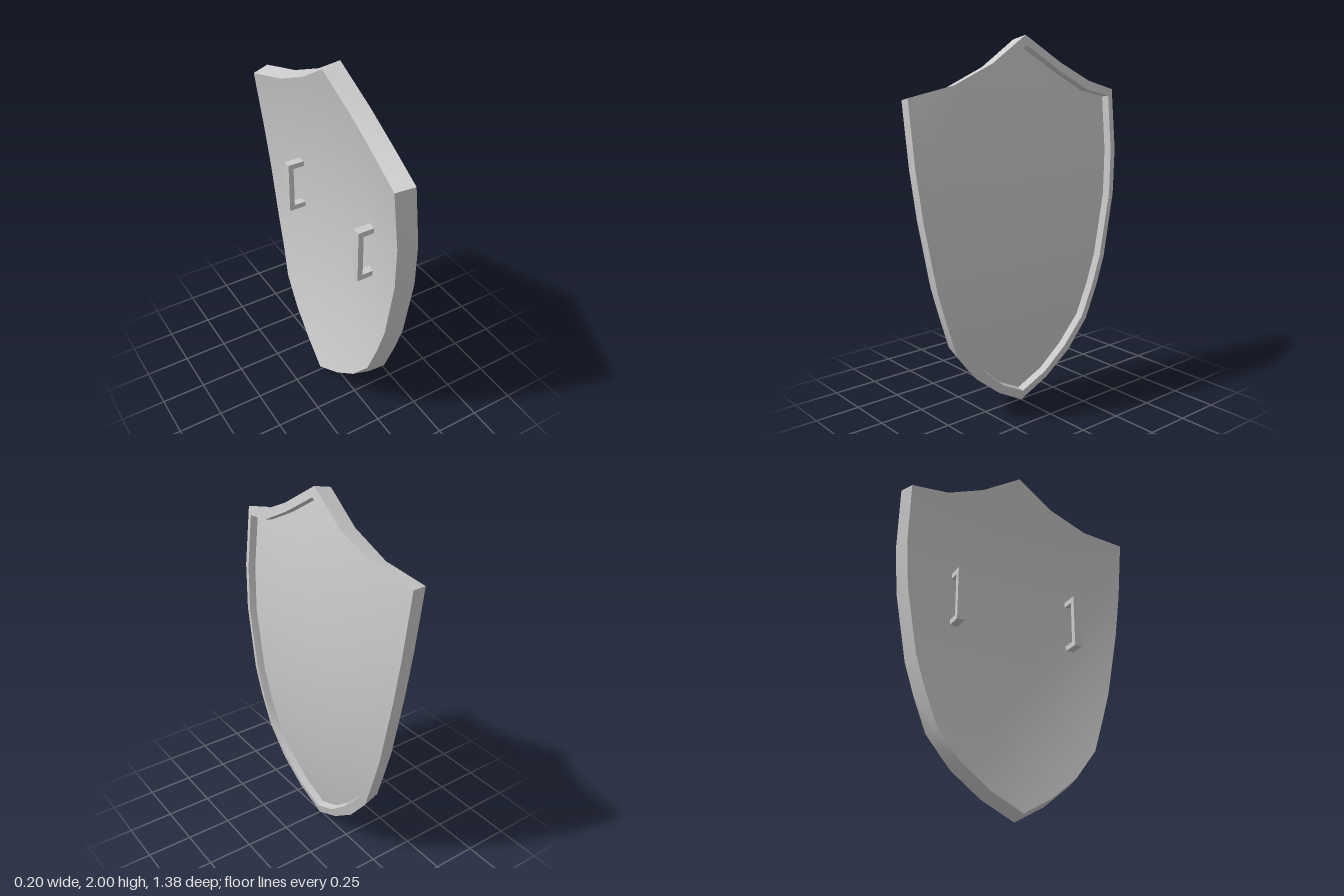
import * as THREE from 'three';
import { toCreasedNormals } from 'three/addons/utils/BufferGeometryUtils.js';

// Half outlines as [z, y], from the top point down to the bottom tip
const OUTER = [[0, 2], [0.23, 1.86], [0.455, 1.76], [0.69, 1.706], [0.684, 1.37], [0.658, 1.114],
  [0.589, 0.75], [0.536, 0.58], [0.467, 0.388], [0.336, 0.224], [0.175, 0.096], [0, 0]];
const INNER = [[0, 1.947], [0.21, 1.82], [0.43, 1.714], [0.642, 1.671], [0.637, 1.37], [0.615, 1.114],
  [0.543, 0.76], [0.489, 0.59], [0.424, 0.413], [0.292, 0.26], [0.155, 0.138], [0, 0.057]];
const RECESS = 0.04, THICKNESS = 0.1;

// Normal and position on the domed shield surface, sunk by depth along the normal
const normalAt = (z, y) => new THREE.Vector3(1, 0.24 * (y - 1.07), 0.4 * z).normalize();
function pointAt(z, y, depth) {
  const x = 0.145 - 0.2 * z * z - 0.12 * (y - 1.07) ** 2;
  return new THREE.Vector3(x, y, z).addScaledVector(normalAt(z, y), -depth);
}

function makeGeometry(points, index) {
  const geo = new THREE.BufferGeometry().setFromPoints(points);
  geo.setIndex(index);
  return geo;
}

// Domed sheet filling a half outline and its mirror image, row by row
function sheet(half, depth, facing) {
  const N = 12, points = [], normals = [], index = [];
  half.forEach(([w, y], i) => {
    for (let k = 0; k <= N; k++) {
      const z = w * (1 - 2 * k / N);
      points.push(pointAt(z, y, depth));
      normals.push(...normalAt(z, y).multiplyScalar(facing).toArray());
      if (i === half.length - 1 || k === N) continue;
      const a = i * (N + 1) + k, b = a + N + 1;
      if (facing > 0) index.push(a, b, b + 1, a, b + 1, a + 1);
      else index.push(a, b + 1, b, a, a + 1, b + 1);
    }
  });
  const geo = makeGeometry(points, index);
  geo.setAttribute('normal', new THREE.Float32BufferAttribute(normals, 3));
  return geo;
}

// Raised border: outer wall, front band and inner step swept round the outline
function border() {
  const loop = half => [...half, ...half.slice(1, -1).reverse().map(([z, y]) => [-z, y])];
  const rings = [[OUTER, THICKNESS], [OUTER, 0], [INNER, 0], [INNER, RECESS]];
  const n = loop(OUTER).length, points = [], index = [];
  rings.forEach(([half, depth], r) => {
    loop(half).forEach(([z, y], j) => {
      points.push(pointAt(z, y, depth));
      if (r === rings.length - 1) return;
      const a = r * n + j, b = r * n + (j + 1) % n;
      index.push(a, b, b + n, a, b + n, a + n);
    });
  });
  return toCreasedNormals(makeGeometry(points, index), 0.5);
}

export function createModel() {
  const model = new THREE.Group();
  model.name = 'shield';
  const material = new THREE.MeshStandardMaterial({ color: 0xcccccc });
  const add = (name, geometry, parent = model) => {
    const mesh = new THREE.Mesh(geometry, material);
    mesh.name = name;
    parent.add(mesh);
    return mesh;
  };

  add('rim', border());
  add('frontPanel', sheet(INNER, RECESS, 1));
  add('backPanel', sheet(OUTER, THICKNESS, -1));

  // Two square grips on the back
  for (const side of [1, -1]) {
    const handle = new THREE.Group();
    handle.name = side > 0 ? 'frontHandle' : 'rearHandle';
    handle.position.set(-0.08, 1.13, side * 0.352);
    add('grip', new THREE.BoxGeometry(0.03, 0.3, 0.045), handle).position.x = 0.015;
    for (const end of [1, -1]) {
      add('gripLeg', new THREE.BoxGeometry(0.09, 0.03, 0.045), handle).position.set(0.07, end * 0.135, 0);
    }
    model.add(handle);
  }
  return model;
}
